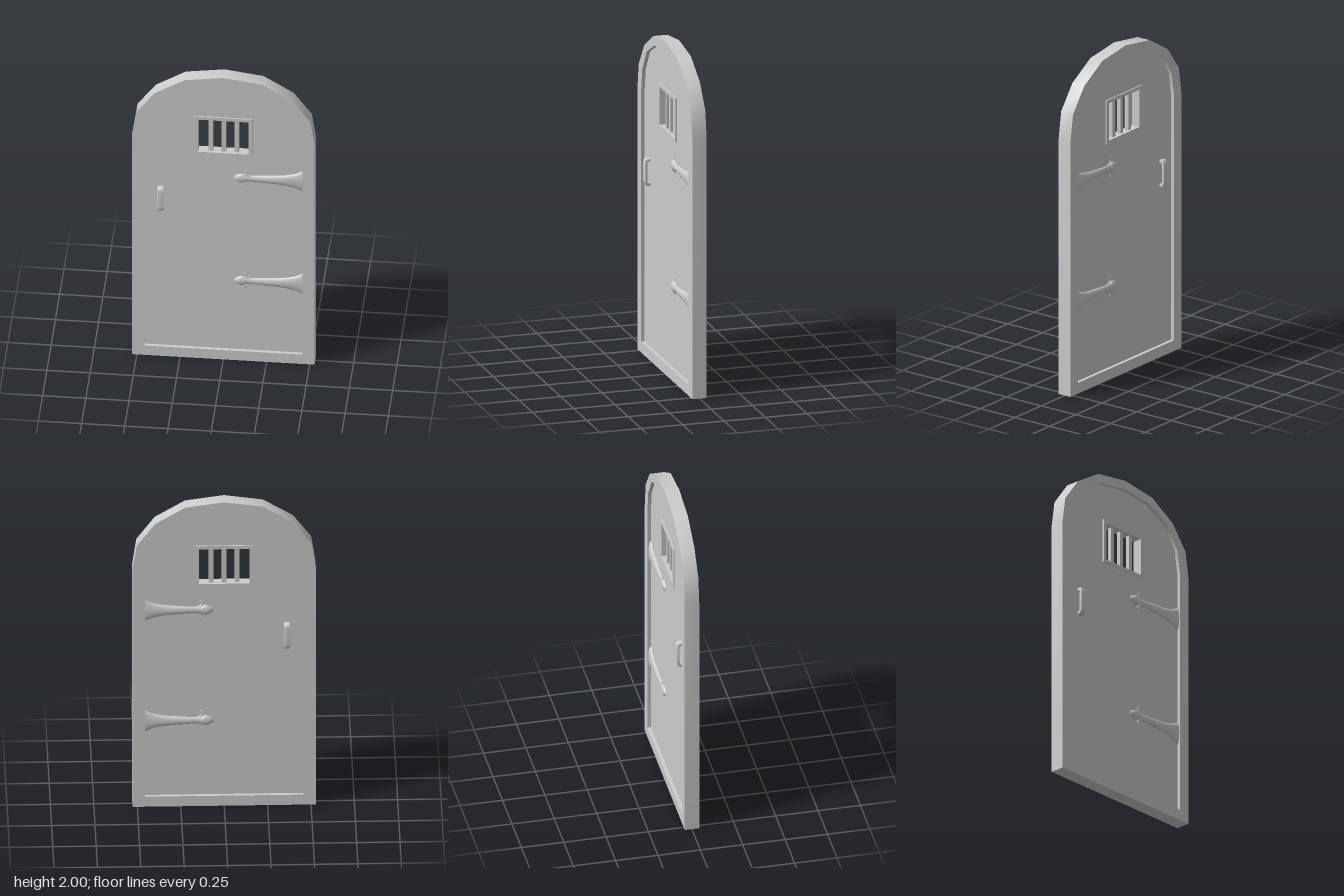
import * as THREE from 'three';
import { toCreasedNormals } from 'three/addons/utils/BufferGeometryUtils.js';

const material = new THREE.MeshStandardMaterial({ color: 0xcccccc });
const PANEL_Z = 0.022;

function add(parent, name, geometry) {
  const mesh = new THREE.Mesh(geometry, material);
  mesh.name = name;
  parent.add(mesh);
  return mesh;
}

// Outline of an arched opening: right half of the arch mirrored to the left
function archPoints(bottom, half) {
  const left = half.slice(0, -1).reverse().map(([x, y]) => [-x, y]);
  const w = half[0][0];
  return [[-w, bottom], [w, bottom], ...half, ...left].map(([x, y]) => new THREE.Vector2(x, y));
}

function rectPoints(x0, x1, y0, y1) {
  return [[x0, y0], [x1, y0], [x1, y1], [x0, y1]].map(([x, y]) => new THREE.Vector2(x, y));
}

// Plate centred on z = 0 with an optional opening
function plate(outline, hole, depth) {
  const shape = new THREE.Shape(outline);
  if (hole) shape.holes.push(new THREE.Path(hole));
  const g = new THREE.ExtrudeGeometry(shape, { depth, bevelEnabled: false });
  g.translate(0, 0, -depth / 2);
  return toCreasedNormals(g, 0.6);
}

// Domed strap: half-ellipse sections whose half width follows a spline
function strapGeometry() {
  const profile = new THREE.SplineCurve([
    [0.058, 0.001], [0.066, 0.013], [0.085, 0.025], [0.105, 0.032], [0.122, 0.027], [0.145, 0.02],
    [0.2, 0.022], [0.27, 0.027], [0.34, 0.033], [0.4, 0.045], [0.432, 0.058], [0.46, 0.073],
  ].map(([x, w]) => new THREE.Vector2(x, w)));
  const g = new THREE.PlaneGeometry(1, 1, 36, 10);
  const p = g.attributes.position;
  for (let i = 0; i < p.count; i++) {
    const s = profile.getPoint(p.getX(i) + 0.5);
    const a = p.getY(i) * Math.PI;
    p.setXYZ(i, s.x, s.y * Math.sin(a), PANEL_Z + Math.min(0.016, s.y * 0.6) * Math.cos(a));
  }
  g.computeVertexNormals();
  return g;
}

// Small horn curling away from the strap head, thinning to its tip
function curlGeometry(side) {
  const path = new THREE.CatmullRomCurve3([
    [0.155, 0.012], [0.132, 0.028], [0.124, 0.044], [0.134, 0.058], [0.122, 0.07],
  ].map(([x, y]) => new THREE.Vector3(x, y * side, PANEL_Z)));
  const rows = 16, cols = 8;
  const g = new THREE.TubeGeometry(path, rows, 0.009, cols);
  const p = g.attributes.position, v = new THREE.Vector3();
  for (let i = 0; i < p.count; i++) {
    const t = Math.floor(i / (cols + 1)) / rows;
    const c = path.getPointAt(t);
    v.fromBufferAttribute(p, i).sub(c).multiplyScalar(1 - 0.9 * t).add(c);
    p.setXYZ(i, v.x, v.y, v.z);
  }
  g.computeVertexNormals();
  return g;
}

// Pull handle: a bowed band, drawn from the side and given width across x
function handleGeometry() {
  const s = new THREE.Shape();
  s.moveTo(0.016, -0.08);
  s.lineTo(0.041, -0.08);
  s.quadraticCurveTo(0.053, -0.072, 0.053, -0.052);
  s.lineTo(0.053, 0.052);
  s.quadraticCurveTo(0.053, 0.072, 0.041, 0.08);
  s.lineTo(0.016, 0.08);
  s.lineTo(0.016, 0.066);
  s.lineTo(0.034, 0.066);
  s.quadraticCurveTo(0.041, 0.06, 0.041, 0.048);
  s.lineTo(0.041, -0.048);
  s.quadraticCurveTo(0.041, -0.06, 0.034, -0.066);
  s.lineTo(0.016, -0.066);
  const g = new THREE.ExtrudeGeometry(s, {
    depth: 0.03, bevelThickness: 0.003, bevelSize: 0.002, bevelSegments: 2, curveSegments: 6,
  });
  g.translate(0, 0, -0.015);
  g.rotateY(-Math.PI / 2);
  return toCreasedNormals(g, 0.7);
}

export function createModel() {
  const door = new THREE.Group();
  door.name = 'archedDoor';

  // Frame and recessed door leaf
  const outer = archPoints(0, [[0.528, 1.56], [0.504, 1.72], [0.398, 1.863], [0.225, 1.968], [0, 2]]);
  const inner = archPoints(0.066, [[0.457, 1.57], [0.436, 1.703], [0.35, 1.838], [0.197, 1.919], [0, 1.944]]);
  const opening = rectPoints(-0.147, 0.145, 1.456, 1.684);
  add(door, 'frame', plate(outer, inner, 0.086));
  add(door, 'doorPanel', plate(inner, opening, PANEL_Z * 2));

  // Barred window
  const windowGroup = new THREE.Group();
  windowGroup.name = 'window';
  door.add(windowGroup);
  add(windowGroup, 'windowFrame', plate(rectPoints(-0.168, 0.166, 1.435, 1.705), opening, 0.06));
  for (const x of [-0.075, 0, 0.075]) {
    add(windowGroup, 'windowBar', new THREE.BoxGeometry(0.026, 0.236, 0.026)).position.set(x, 1.57, 0);
  }

  // Hinges and handles on both faces; the back set is turned about x
  const strap = strapGeometry(), curls = [curlGeometry(1), curlGeometry(-1)], pull = handleGeometry();
  for (const [face, turn] of [['front', 0], ['back', Math.PI]]) {
    for (const y of [1.283, 0.555]) {
      const hinge = new THREE.Group();
      hinge.name = face + 'Hinge';
      add(hinge, 'hingeStrap', strap);
      for (const c of curls) add(hinge, 'hingeCurl', c);
      hinge.position.y = y;
      hinge.rotation.x = turn;
      door.add(hinge);
    }
    const handle = add(door, face + 'Handle', pull);
    handle.position.set(-0.363, 1.113, 0);
    handle.rotation.x = turn;
  }
  return door;
}
